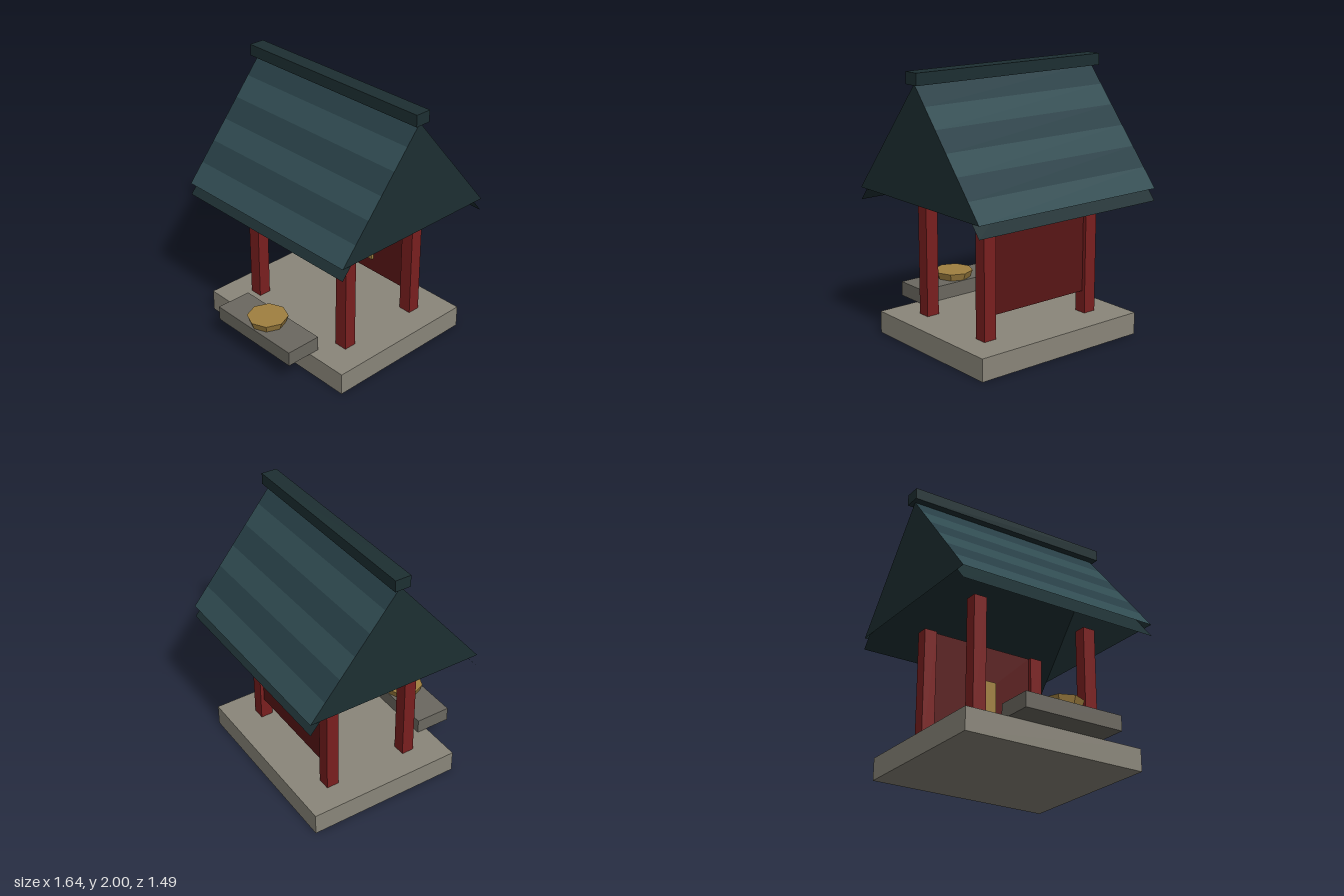
import * as THREE from 'three';

const mat = (color) => new THREE.MeshStandardMaterial({ color, flatShading: true, side: THREE.DoubleSide });
const stone = mat(0x8a867a), darkStone = mat(0x6b6860), red = mat(0x7a1f1f), darkRed = mat(0x581515);
const gold = mat(0xa08040), tileLight = mat(0x304b51), tileDark = mat(0x273e45), trim = mat(0x1d2f32);

function add(parent, name, geometry, material, x = 0, y = 0, z = 0) {
  const mesh = new THREE.Mesh(geometry, material);
  mesh.name = name;
  mesh.position.set(x, y, z);
  parent.add(mesh);
  return mesh;
}

// Box given by its size, the height of its underside and its middle in x and z
function box(parent, name, material, w, h, d, x, y0, z) {
  return add(parent, name, new THREE.BoxGeometry(w, h, d), material, x, y0 + h / 2, z);
}

function createRoof() {
  const roof = new THREE.Group();
  roof.name = 'roof';
  const eave = 1.1, rise = 0.82, run = 0.68, width = 1.59, bands = 6;
  const tilt = -Math.atan2(run, rise), length = Math.hypot(run, rise);

  for (const turn of [0, Math.PI]) {
    const slope = new THREE.Group();
    slope.name = turn ? 'backSlope' : 'frontSlope';
    slope.rotation.y = turn;
    // Tile courses in alternating shades
    for (let i = 0; i < bands; i++) {
      const t = (i + 0.5) / bands;
      add(slope, 'tileCourse', new THREE.PlaneGeometry(width, length / bands),
        i % 2 ? tileDark : tileLight, 0, eave + rise * t, run * (1 - t)).rotation.x = tilt;
    }
    // Thin under-layer that shows below the eave
    add(slope, 'roofUnderside', new THREE.PlaneGeometry(width, length), trim,
      0, eave + rise / 2 - 0.09, run / 2).rotation.x = tilt;
    roof.add(slope);
  }

  // Gable ends
  const triangle = new THREE.Shape([
    new THREE.Vector2(-run, eave), new THREE.Vector2(run, eave), new THREE.Vector2(0, eave + rise)]);
  for (const side of [-1, 1]) {
    add(roof, 'gable', new THREE.ShapeGeometry(triangle), trim, side * width / 2).rotation.y = side * Math.PI / 2;
  }

  box(roof, 'ridgeBeam', trim, 1.64, 0.085, 0.12, 0, 1.915, 0);
  roof.position.z = -0.06;
  return roof;
}

export function createModel() {
  const model = new THREE.Group();
  model.name = 'shrine';

  // Stone base and the offering step overhanging its front
  box(model, 'base', stone, 1.42, 0.165, 1.2, 0, 0, -0.06);
  box(model, 'offeringStep', darkStone, 0.77, 0.11, 0.275, 0, 0.165, 0.598);
  add(model, 'offeringBowl', new THREE.CylinderGeometry(0.15, 0.13, 0.055, 8), gold, 0, 0.3025, 0.595);

  // Corner posts
  for (const x of [-0.465, 0.465]) {
    for (const z of [-0.39, 0.27]) box(model, 'post', red, 0.1, 0.935, 0.095, x, 0.165, z);
  }

  // Back panel with its plaque
  box(model, 'backPanel', darkRed, 0.83, 0.77, 0.04, 0, 0.33, -0.39);
  box(model, 'plaque', gold, 0.21, 0.38, 0.02, 0, 0.44, -0.36);

  model.add(createRoof());
  return model;
}
